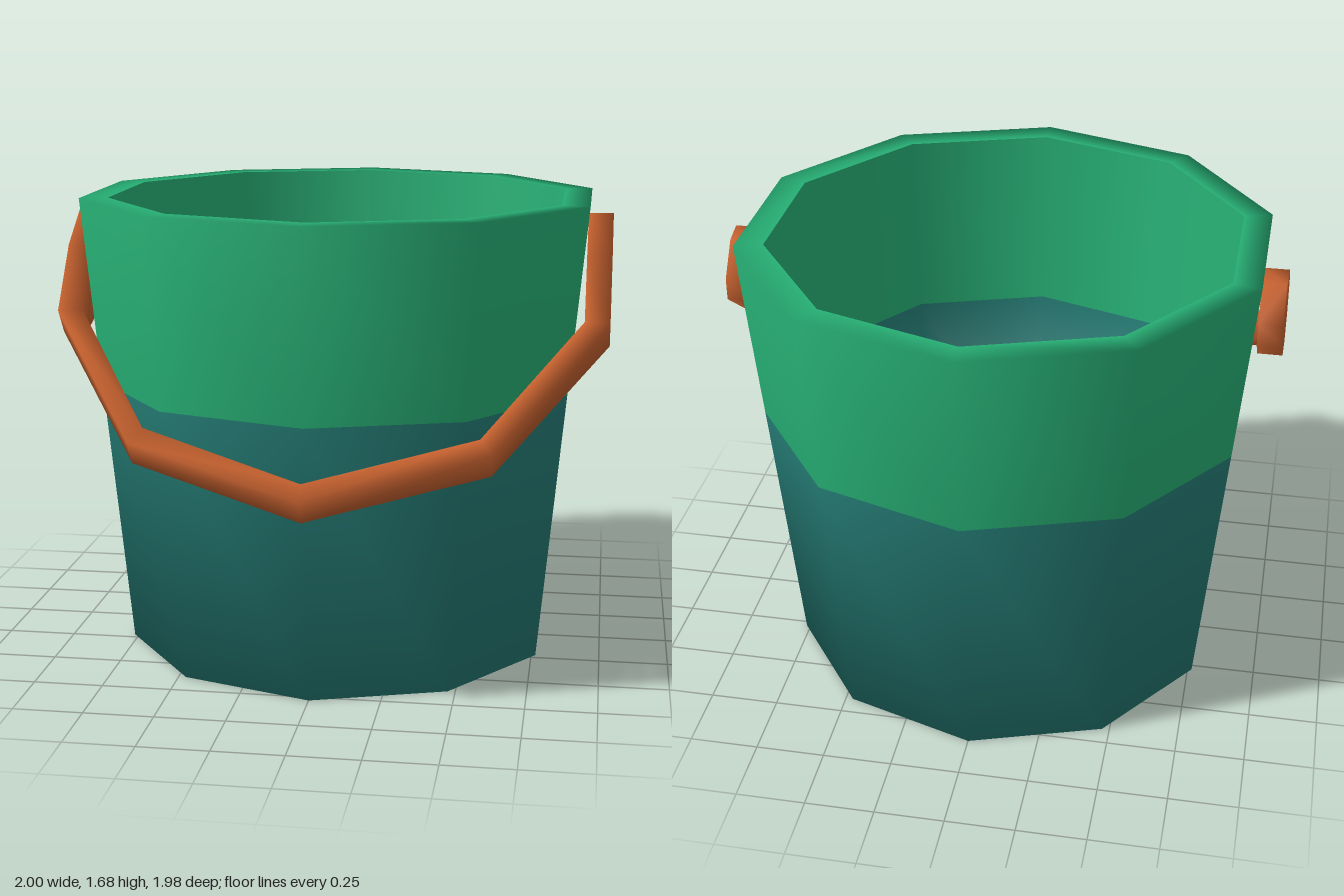
import * as THREE from 'three';

const mat = (name, color) => {
  const m = new THREE.MeshStandardMaterial({ color });
  m.name = name;
  return m;
};

// Bail: a four-cornered bar swept through rings; N is across the handle plane, D points out and down
function handleGeometry() {
  const O = new THREE.Vector3(0, 1.42, 0);
  const D = new THREE.Vector3(0, -0.585, 0.811);
  const N = new THREE.Vector3(0, 0.811, 0.585);
  // [outer x, outer d, inner x, inner d, half width], from the middle to the end paddle
  const half = [
    [0, 1.18, 0, 1.1, 0.054],
    [0.62, 0.95, 0.58, 0.88, 0.054],
    [1, 0.335, 0.91, 0.325, 0.055],
    [1, 0.075, 0.91, 0.075, 0.138],
    [1, -0.15, 0.91, -0.15, 0.136],
    [0.995, -0.213, 0.91, -0.213, 0.072],
  ];
  const mirrored = half.slice(1).reverse().map(([ox, od, ix, id, w]) => [-ox, od, -ix, id, w]);
  const rings = [...mirrored, ...half];
  const pos = [], index = [];
  for (const [ox, od, ix, id, w] of rings) {
    for (const [x, d, p] of [[ox, od, w], [ix, id, w], [ix, id, -w], [ox, od, -w]]) {
      const v = O.clone().addScaledVector(D, d).addScaledVector(N, p + 0.004);
      pos.push(x, v.y, v.z);
    }
  }
  for (let k = 0; k < rings.length - 1; k++) {
    for (let j = 0; j < 4; j++) {
      const a = k * 4 + j, b = k * 4 + (j + 1) % 4;
      index.push(a, a + 4, b + 4, a, b + 4, b);
    }
  }
  // End caps
  const e = (rings.length - 1) * 4;
  index.push(0, 1, 2, 0, 2, 3, e, e + 2, e + 1, e, e + 3, e + 2);
  const g = new THREE.BufferGeometry();
  g.setAttribute('position', new THREE.Float32BufferAttribute(pos, 3));
  g.setIndex(index);
  g.computeVertexNormals();
  return g;
}

export function createModel() {
  const green = mat('green', 0x27b075);
  const teal = mat('teal', 0x267f78);
  const orange = mat('orange', 0xc8622f);
  const model = new THREE.Group();
  model.name = 'bucket';

  // Ten-sided shells, each from a [radius, height] profile
  const shell = (name, profile, material) => {
    const pts = profile.map(([r, y]) => new THREE.Vector2(r, y));
    const mesh = new THREE.Mesh(new THREE.LatheGeometry(pts, 10), material);
    mesh.name = name;
    mesh.position.z = -0.025;
    model.add(mesh);
  };
  shell('lowerOuterWall', [[0, 0], [0.805, 0], [0.9, 1]], teal);
  shell('upperOuterWallAndRim', [[0.9, 1], [0.965, 1.68], [0.86, 1.68]], green);
  shell('upperInnerWall', [[0.86, 1.68], [0.81, 1]], green);
  shell('lowerInnerWallAndFloor', [[0.81, 1], [0.745, 0.1], [0, 0.1]], teal);

  const handle = new THREE.Mesh(handleGeometry(), orange);
  handle.name = 'handle';
  model.add(handle);
  return model;
}
